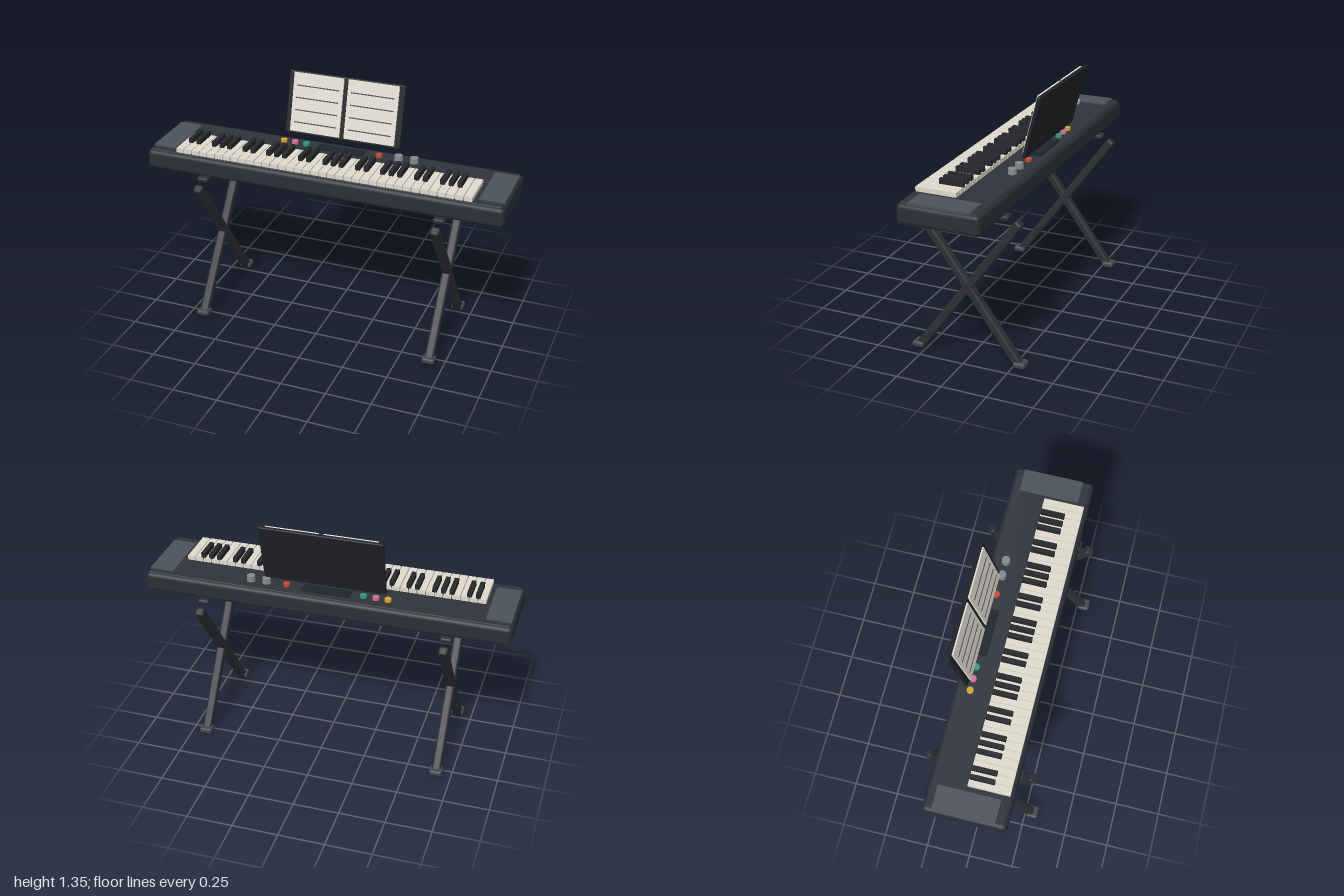
import * as THREE from 'three';
import { RoundedBoxGeometry } from 'three/addons/geometries/RoundedBoxGeometry.js';

const mat = (color) => new THREE.MeshStandardMaterial({ color });
const M = {
  body: mat(0x2b2f36), deck: mat(0x30343b), dark: mat(0x202226), frame: mat(0x2c2f35),
  speaker: mat(0x4c525b), foot: mat(0x43474e), ivory: mat(0xdedacd), ebony: mat(0x25272b),
  paper: mat(0xe2ded5), ink: mat(0x50535a), screen: mat(0x1f242e), knob: mat(0x85898f),
};

function add(parent, name, geometry, material, x, y, z) {
  const mesh = new THREE.Mesh(geometry, material);
  mesh.name = name;
  mesh.position.set(x, y, z);
  parent.add(mesh);
  return mesh;
}
const box = (w, h, d) => new THREE.BoxGeometry(w, h, d);
const rounded = (w, h, d, r) => new RoundedBoxGeometry(w, h, d, 3, r);

function group(parent, name) {
  const g = new THREE.Group();
  g.name = name;
  parent.add(g);
  return g;
}

export function createModel() {
  const model = new THREE.Group();
  model.name = 'keyboardOnStand';

  // Body with a slightly raised top deck
  add(model, 'body', rounded(2, 0.108, 0.443, 0.024), M.body, 0, 0.906, 0);
  add(model, 'topDeck', rounded(1.97, 0.02, 0.41, 0.005), M.deck, 0, 0.955, 0);
  for (const s of [-1, 1]) {
    add(model, 'speakerPanel', box(0.132, 0.012, 0.33), M.speaker, s * 0.922, 0.964, -0.005);
  }

  // Keys: five octaves and a final white key
  const keys = group(model, 'keys');
  const count = 36, pitch = 0.0462, x0 = -count * pitch / 2;
  const whiteKey = box(pitch - 0.004, 0.035, 0.222);
  const blackKey = box(0.024, 0.034, 0.131);
  for (let i = 0; i < count; i++) {
    add(keys, 'whiteKey', whiteKey, M.ivory, x0 + (i + 0.5) * pitch, 0.9725, 0.089);
    if (i < count - 1 && [0, 1, 3, 4, 5].includes(i % 7)) {
      add(keys, 'blackKey', blackKey, M.ebony, x0 + (i + 1) * pitch, 1.001, 0.045);
    }
  }

  // Control panel
  const controls = group(model, 'controls');
  add(controls, 'display', box(0.265, 0.012, 0.065), M.screen, 0, 0.967, -0.135);
  const button = new THREE.CylinderGeometry(0.018, 0.018, 0.02, 20);
  for (const [x, color] of [[-0.335, 0xd9a62e], [-0.27, 0xcf7395], [-0.203, 0x2f9c7c], [0.22, 0xc44a32]]) {
    add(controls, 'button', button, mat(color), x, 0.972, -0.138);
  }
  const knob = new THREE.CylinderGeometry(0.022, 0.024, 0.035, 24);
  for (const x of [0.332, 0.42]) add(controls, 'knob', knob, M.knob, x, 0.978, -0.136);

  // Music rest, leaning back, with two ruled pages
  const rest = group(model, 'musicRest');
  rest.position.set(0, 1.187, -0.2);
  rest.rotation.x = -0.25;
  add(rest, 'restBoard', rounded(0.665, 0.347, 0.021, 0.007), M.dark, 0, 0, 0);
  for (const s of [-1, 1]) {
    add(rest, 'page', box(0.288, 0.325, 0.009), M.paper, s * 0.157, 0.004, 0.017);
    for (let i = 0; i < 4; i++) {
      add(rest, 'pageLine', box(0.245, 0.006, 0.003), M.ink, s * 0.157, 0.097 - i * 0.068, 0.0225);
    }
  }

  // Crossed legs, feet and the bar carrying the body
  const lean = 0.626;
  const leg = rounded(0.05, 0.983, 0.048, 0.013);
  const foot = rounded(0.07, 0.032, 0.066, 0.012);
  const bar = rounded(0.064, 0.03, 0.468, 0.012);
  for (const side of [-1, 1]) {
    const stand = group(model, side > 0 ? 'leftStand' : 'rightStand');
    stand.position.x = side * 0.667;
    add(stand, 'supportBar', bar, M.frame, 0, 0.836, 0);
    for (const s of [-1, 1]) {
      add(stand, 'leg', leg, M.frame, 0, 0.418, 0).rotation.x = s * lean;
      add(stand, 'foot', foot, M.foot, 0, 0.034, s * 0.29);
    }
  }
  return model;
}
